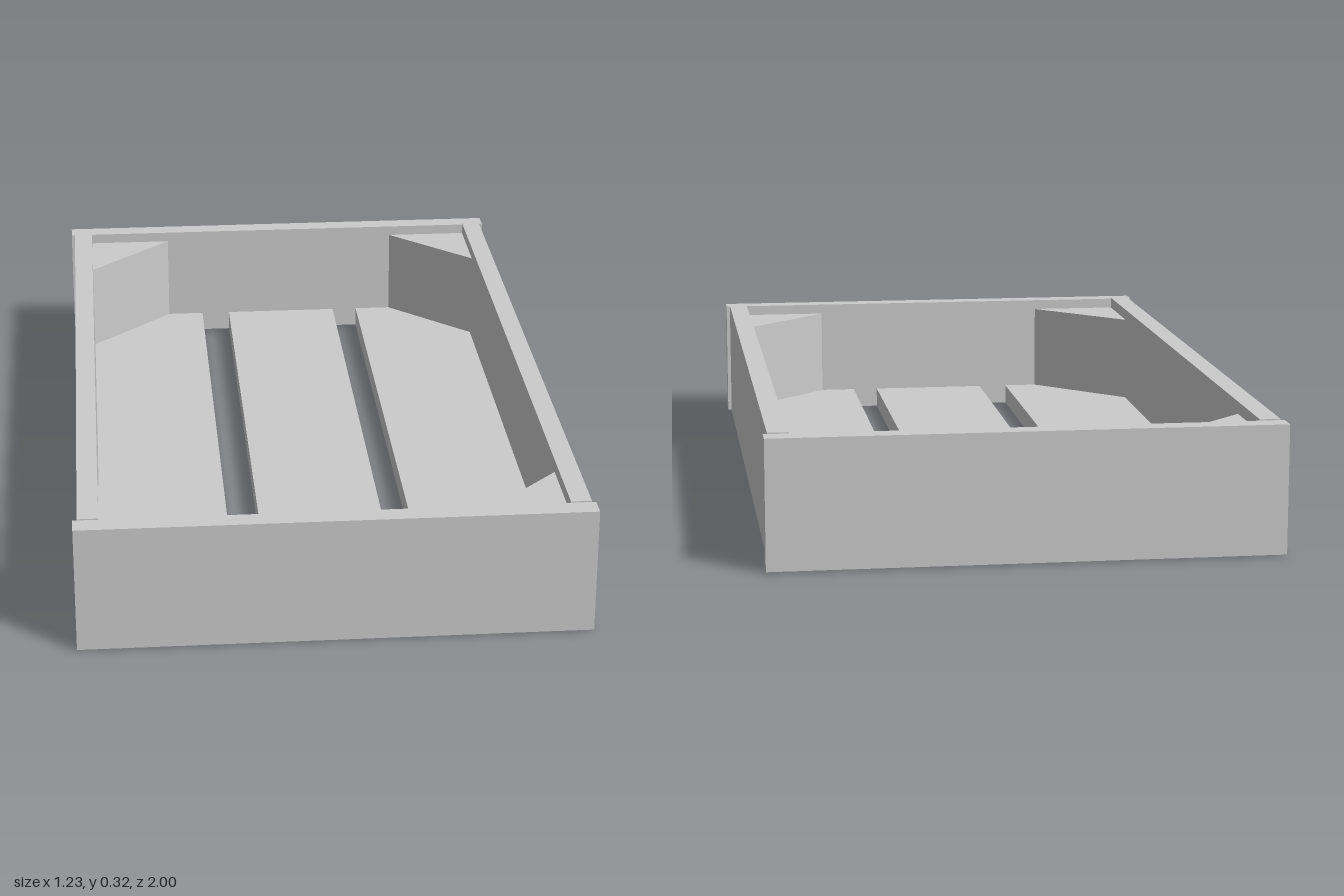
import * as THREE from 'three';

const material = new THREE.MeshStandardMaterial({ color: 0xcccccc, flatShading: true });

// Box given by its lower and upper limits on each axis
function board(name, [x0, x1], [y0, y1], [z0, z1]) {
  const mesh = new THREE.Mesh(new THREE.BoxGeometry(x1 - x0, y1 - y0, z1 - z0), material);
  mesh.name = name;
  mesh.position.set((x0 + x1) / 2, (y0 + y1) / 2, (z0 + z1) / 2);
  return mesh;
}

// Triangular prism filling an inner corner, with legs along x and z
function cornerBlock(name, sx, sz, legX, legZ) {
  const x = sx * 0.555, z = sz * 0.948;
  const shape = new THREE.Shape([
    new THREE.Vector2(x, -z),
    new THREE.Vector2(x - sx * legX, -z),
    new THREE.Vector2(x, -(z - sz * legZ)),
  ]);
  const geometry = new THREE.ExtrudeGeometry(shape, { depth: 0.235, bevelEnabled: false });
  geometry.rotateX(-Math.PI / 2);
  const mesh = new THREE.Mesh(geometry, material);
  mesh.name = name;
  mesh.position.y = 0.055;
  return mesh;
}

export function createModel() {
  const crate = new THREE.Group();
  crate.name = 'shallowCrate';

  // End boards overhang the side boards slightly
  crate.add(board('frontBoard', [-0.615, 0.615], [0.003, 0.317], [0.948, 1]));
  crate.add(board('backBoard', [-0.615, 0.615], [0.003, 0.317], [-1, -0.948]));

  // Long side boards
  crate.add(board('leftBoard', [0.555, 0.605], [0, 0.32], [-0.948, 0.948]));
  crate.add(board('rightBoard', [-0.605, -0.555], [0, 0.32], [-0.948, 0.948]));

  // Three floor slats with gaps between them
  [['rightSlat', -0.555, -0.23], ['middleSlat', -0.15, 0.165], ['leftSlat', 0.235, 0.555]]
    .forEach(([name, x0, x1]) => crate.add(board(name, [x0, x1], [0.002, 0.056], [-0.948, 0.948])));

  // Corner blocks
  crate.add(cornerBlock('backRightCornerBlock', -1, -1, 0.225, 0.22));
  crate.add(cornerBlock('backLeftCornerBlock', 1, -1, 0.22, 0.215));
  crate.add(cornerBlock('frontRightCornerBlock', -1, 1, 0.235, 0.238));
  crate.add(cornerBlock('frontLeftCornerBlock', 1, 1, 0.225, 0.225));

  return crate;
}
